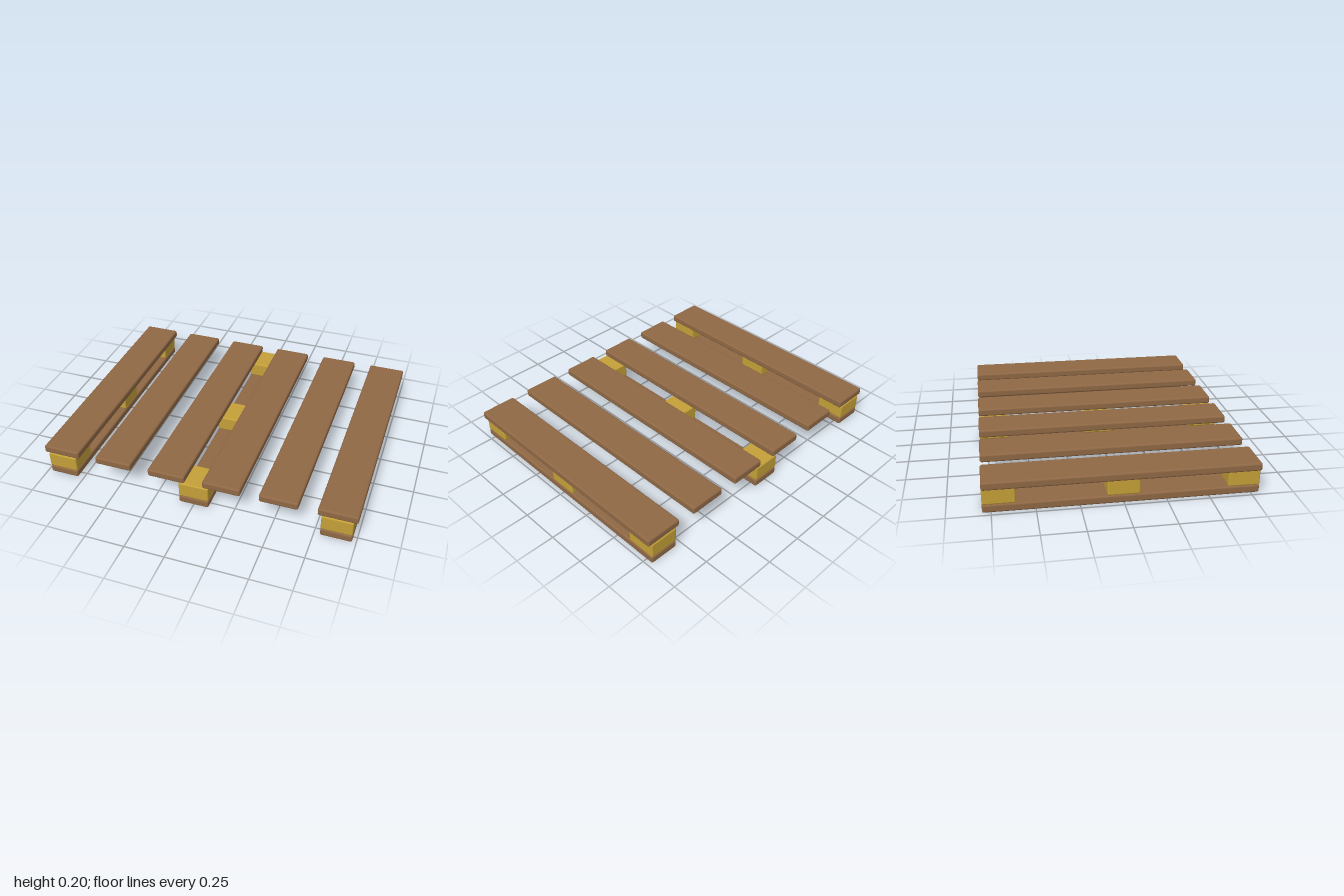
import * as THREE from 'three';
import { RoundedBoxGeometry } from 'three/addons/geometries/RoundedBoxGeometry.js';

const LENGTH = 1.6;
const BOARD_HEIGHT = 0.05;
const BLOCK_HEIGHT = 0.1;
const BLOCK_SIZE = 0.19;
const DECK_WIDTH = 0.238;
const OUTER_X = 0.881;

export function createModel() {
  const pallet = new THREE.Group();
  pallet.name = 'pallet';

  const boardWood = new THREE.MeshStandardMaterial({ color: 0x8f6845 });
  boardWood.name = 'brown board wood';
  const blockWood = new THREE.MeshStandardMaterial({ color: 0xc4a038 });
  blockWood.name = 'yellow block wood';

  const runnerShape = new RoundedBoxGeometry(BLOCK_SIZE, BOARD_HEIGHT, LENGTH, 2, 0.012);
  const deckShape = new RoundedBoxGeometry(DECK_WIDTH, BOARD_HEIGHT, LENGTH, 2, 0.012);
  const blockShape = new RoundedBoxGeometry(BLOCK_SIZE, BLOCK_HEIGHT, BLOCK_SIZE, 2, 0.01);

  const add = (name, geometry, material, x, y, z = 0) => {
    const mesh = new THREE.Mesh(geometry, material);
    mesh.name = name;
    mesh.position.set(x, y, z);
    pallet.add(mesh);
  };

  // Three bottom runners, each carrying three spacer blocks
  for (const x of [-OUTER_X, 0, OUTER_X]) {
    add('bottomRunner', runnerShape, boardWood, x, BOARD_HEIGHT / 2);
    for (const z of [-1, 0, 1]) {
      add('spacerBlock', blockShape, blockWood, x,
        BOARD_HEIGHT + BLOCK_HEIGHT / 2, z * (LENGTH - BLOCK_SIZE) / 2);
    }
  }

  // Six evenly spaced deck boards
  for (let i = 0; i < 6; i++) {
    const x = OUTER_X * (i / 2.5 - 1);
    add('deckBoard', deckShape, boardWood, x, BOARD_HEIGHT * 1.5 + BLOCK_HEIGHT);
  }

  return pallet;
}
